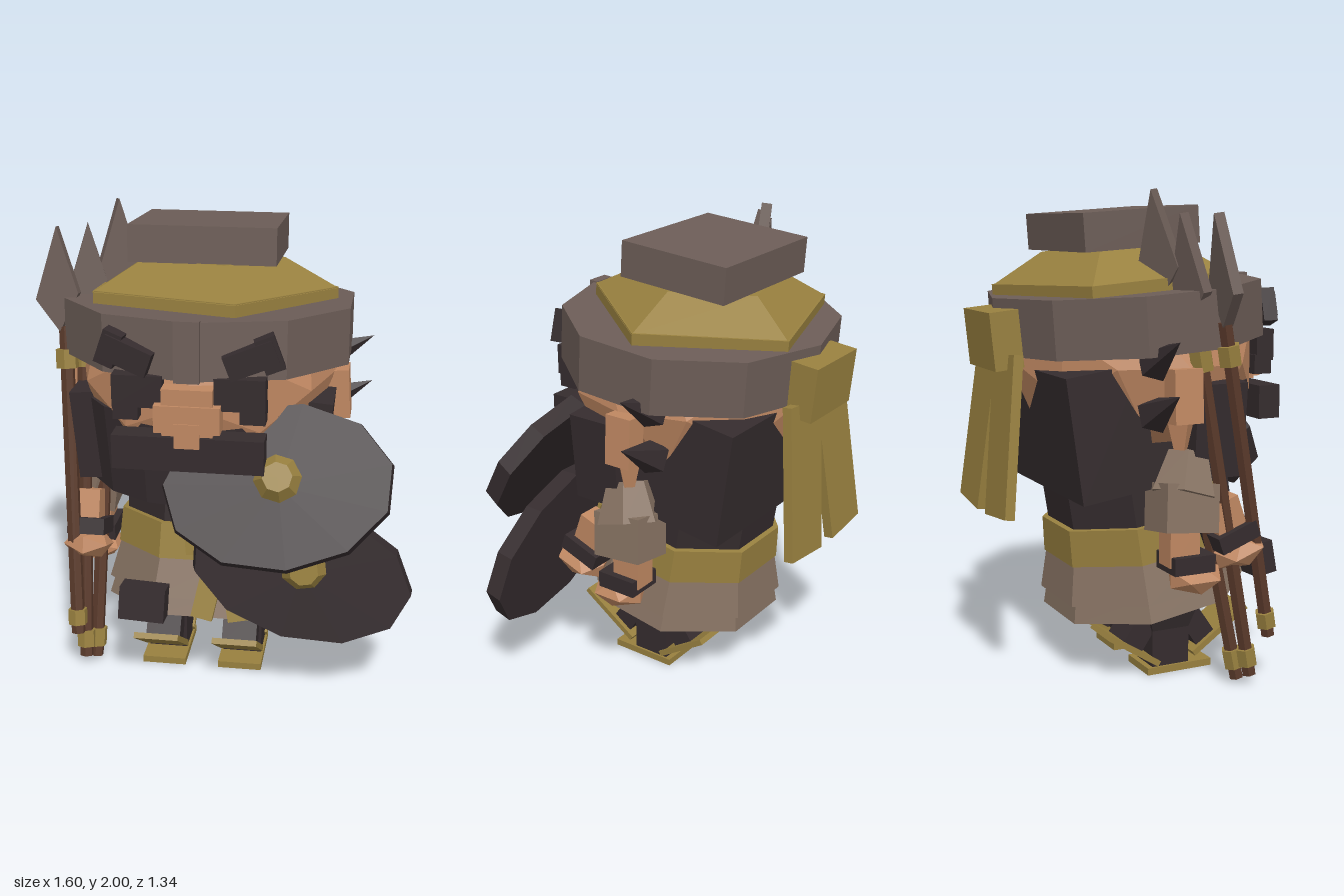
import * as THREE from 'three';

const mat = (name, color) => {
  const m = new THREE.MeshStandardMaterial({ color, flatShading: true, side: THREE.DoubleSide });
  m.name = name;
  return m;
};

export function createModel() {
  const dark = mat('charcoal', 0x352c2e), taupe = mat('taupe', 0x6c5d57), tan = mat('tan', 0x857161);
  const gold = mat('gold', 0x98803f), skin = mat('skin', 0xc08862), wood = mat('wood', 0x5a3a2b);
  const root = new THREE.Group();
  const CX = -0.1; // body axis

  const add = (name, geo, m, pos = [0, 0, 0], rot = [0, 0, 0], parent = root) => {
    const mesh = new THREE.Mesh(geo, m);
    mesh.name = name;
    mesh.position.set(...pos);
    mesh.rotation.set(...rot);
    parent.add(mesh);
    return mesh;
  };
  const box = (name, m, size, pos, rot, parent) => add(name, new THREE.BoxGeometry(...size), m, pos, rot, parent);
  const drum = (name, m, rt, rb, h, n, pos, rot, parent, start = 0) =>
    add(name, new THREE.CylinderGeometry(rt, rb, h, n, 1, false, start), m, pos, rot, parent);
  // rod or cone running between two points
  const rod = (name, m, a, b, ra, rb, n) => {
    const A = new THREE.Vector3(...a), B = new THREE.Vector3(...b);
    const mesh = drum(name, m, rb, ra, A.distanceTo(B), n, A.clone().lerp(B, 0.5).toArray());
    mesh.quaternion.setFromUnitVectors(new THREE.Vector3(0, 1, 0), B.sub(A).normalize());
    return mesh;
  };

  // Hat: faceted band, five-sided dome on a lip, square cap
  drum('hatBand', taupe, 0.61, 0.61, 0.23, 10, [CX + 0.01, 1.5, -0.01], [-0.07, 0, 0]).scale.set(1.01, 1, 0.93);
  box('hatBandPlate', taupe, [0.1, 0.24, 0.04], [CX, 1.54, 0.545], [-0.07, 0, 0]);
  drum('hatDomeLip', gold, 0.53, 0.53, 0.07, 5, [CX, 1.625, -0.05], [-0.08, 0, 0], root, Math.PI / 2).scale.set(1.01, 1, 0.95);
  drum('hatDome', gold, 0.31, 0.53, 0.12, 5, [CX, 1.715, -0.055], [-0.08, 0, 0], root, Math.PI / 2).scale.set(1.01, 1, 0.95);
  box('hatCap', taupe, [0.6, 0.15, 0.5], [CX, 1.85, -0.07], [-0.07, 0, 0]);

  // Head, hair and beard
  add('head', new THREE.IcosahedronGeometry(0.55, 1), skin, [CX, 1.32, 0.02]).scale.set(0.98, 0.78, 0.95);
  box('backHair', dark, [0.88, 0.5, 0.32], [CX, 1.07, -0.265], [-0.14, 0, 0]);
  const beard = add('beard', new THREE.CylinderGeometry(0.53, 0.5, 0.38, 8, 1, false, -Math.PI / 2, Math.PI),
    dark, [CX, 1.05, 0.05]);
  beard.scale.z = 0.85;
  add('beardTip', new THREE.CylinderGeometry(0.42, 0.1, 0.14, 6), dark, [CX, 0.88, 0.22]).scale.z = 0.6;

  // Face
  box('moustache', dark, [0.6, 0.14, 0.1], [CX, 1.13, 0.525]);
  box('noseBridge', skin, [0.2, 0.19, 0.08], [CX, 1.3, 0.53]);
  box('noseWide', skin, [0.26, 0.11, 0.09], [CX, 1.275, 0.535]);
  box('noseTip', skin, [0.1, 0.1, 0.05], [CX, 1.21, 0.56]);
  for (const s of [-1, 1]) {
    const X = d => CX + s * d;
    box('whisker', dark, [0.1, 0.38, 0.22], [X(0.48), 1.07, 0.16], [0, 0, s * -0.08]);
    box('eye', dark, [0.2, 0.13, 0.08], [X(0.2), 1.37, 0.5]);
    box('eyeCorner', dark, [0.1, 0.08, 0.08], [X(0.25), 1.29, 0.49]);
    box('eyebrow', dark, [0.2, 0.1, 0.06], [X(0.24), 1.51, 0.51], [0, s * 0.15, s * 0.35]);
    box('eyebrowEnd', dark, [0.08, 0.14, 0.06], [X(0.31), 1.53, 0.49], [0, s * 0.15, s * 0.35]);
    box('ear', skin, [0.09, 0.21, 0.12], [X(0.555), 1.22, -0.02], [0, 0, s * 0.06]);
    drum('earLobe', skin, 0.06, 0.03, 0.12, 4, [X(0.53), 1.07, -0.02]);
    for (const y of [1.36, 1.16])
      rod('earSpike', dark, [X(0.48), y - 0.02, -0.11], [X(0.69), y + 0.08, -0.11], 0.075, 0, 5);
  }

  // Ribbon knot with two hanging tails at the back
  box('ribbonKnot', gold, [0.31, 0.23, 0.12], [CX, 1.42, -0.585], [-0.1, 0, 0]);
  for (const s of [-1, 1])
    box('ribbonTail', gold, [0.23, 0.64, 0.04], [CX + s * 0.13, 1.04, -0.595], [0.11, 0, s * 0.1]);

  // Body, leaning back
  const body = new THREE.Group();
  body.name = 'body';
  body.position.set(CX, 0.6, 0.04);
  body.rotation.x = -0.16;
  root.add(body);
  drum('torso', dark, 0.36, 0.36, 0.42, 8, [0, 0.2, 0], [0, Math.PI / 8, 0], body);
  drum('belt', gold, 0.385, 0.4, 0.15, 8, [0, 0.01, 0], [0, Math.PI / 8, 0], body);
  drum('skirt', tan, 0.39, 0.44, 0.17, 8, [0, -0.14, 0], [0, Math.PI / 8, 0], body);
  drum('skirtHem', tan, 0.41, 0.44, 0.1, 8, [0, -0.25, 0], [0, Math.PI / 8, 0], body);
  box('beltBuckle', gold, [0.2, 0.13, 0.05], [0.06, 0.04, 0.38], [0, 0, 0.1], body);
  for (const s of [-1, 1])
    box('beltTail', gold, [0.09, 0.29, 0.03], [0.12 + s * 0.05, -0.15, 0.42], [-0.15, 0, s * 0.2], body);
  box('pouch', dark, [0.19, 0.14, 0.1], [-0.2, -0.23, 0.45], [0, 0, -0.05], body);

  // Legs and upturned plank shoes
  for (const s of [-1, 1]) {
    const x = CX + s * 0.168;
    box('leg', dark, [0.17, 0.36, 0.17], [x, 0.2, 0.09]);
    drum('boot', dark, 0.19, 0.12, 0.17, 4, [x, 0.27, 0.09], [0, Math.PI / 4, 0]);
    box('bootFlapFront', dark, [0.15, 0.16, 0.1], [x, 0.18, 0.22], [-0.6, 0, 0]);
    box('bootFlapBack', dark, [0.15, 0.16, 0.1], [x, 0.19, -0.04], [0.6, 0, 0]);
    box('shoeSole', gold, [0.19, 0.03, 0.3], [x, 0.015, 0.13]);
    box('shoeToe', gold, [0.19, 0.025, 0.31], [x, 0.15, 0.325], [-0.6, 0, 0]);
    box('shoeHeel', gold, [0.19, 0.025, 0.27], [x, 0.115, -0.08], [0.57, 0, 0]);
  }

  // Arms: sleeve, then a hanging and a forward forearm with cuff and fist
  for (const s of [-1, 1]) {
    const x = CX + s * 0.49;
    drum('shoulder', tan, 0.09, 0.14, 0.17, 6, [x - s * 0.03, 0.89, 0.04], [0.3, 0, s * 0.3]);
    box('sleeve', tan, [0.19, 0.19, 0.23], [x, 0.77, 0.01], [0.1, 0, s * 0.15]);
    for (const [z, y, lean] of [[0.03, 0, 0], [0.23, 0.09, -0.35]]) {
      const arm = new THREE.Group();
      arm.name = 'forearm';
      arm.position.set(x, y, z);
      root.add(arm);
      box('wrist', skin, [0.1, 0.16, 0.13], [0, 0.62, -0.03], [lean, 0, 0], arm);
      box('cuff', dark, [0.16, 0.07, 0.18], [0, 0.55, 0], [lean, 0, 0], arm);
      add('fist', new THREE.IcosahedronGeometry(0.11, 0), skin, [0, 0.48, 0.04], [lean, 0, 0], arm)
        .scale.set(1, 0.62, 1.15);
    }
  }

  // Two overlapping shields, each with a boss
  const shield = (name, pos, normal, rx, ry, roll) => {
    const g = new THREE.Group();
    g.name = name;
    g.position.set(...pos);
    g.lookAt(new THREE.Vector3(...pos).add(new THREE.Vector3(...normal)));
    g.rotateZ(roll);
    root.add(g);
    drum('shieldDisc', dark, 0.97, 1, 0.08, 11, [0, 0, 0], [Math.PI / 2, 0, 0], g).scale.set(rx, 1, ry);
    drum('shieldBoss', gold, 0.06, 0.1, 0.06, 8, [0, 0.03, 0.065], [Math.PI / 2, 0, 0], g);
  };
  shield('upperShield', [0.25, 0.98, 0.49], [0.06, 0.57, 1], 0.47, 0.34, 0.12);
  shield('lowerShield', [0.345, 0.6, 0.46], [0.1, 0.15, 1], 0.47, 0.29, -0.28);

  // Bundle of three spears: shaft top, shaft bottom, blade centre, blade turn
  const blade = new THREE.Shape([[0.01, -0.18], [0.09, -0.02], [0, 0.25], [-0.09, -0.05]].map(p => new THREE.Vector2(...p)));
  const bladeGeo = new THREE.ExtrudeGeometry(blade, { depth: 0.045, bevelEnabled: false });
  bladeGeo.translate(0, 0, -0.022);
  const spears = [
    [[-0.68, 1.5, 0.14], [-0.62, 0.2, 0.4], [-0.71, 1.66, 0.12], 0],
    [[-0.63, 1.5, 0.04], [-0.61, 0.04, 0.32], [-0.605, 1.66, 0.03], 0.25],
    [[-0.52, 1.6, -0.04], [-0.575, 0.02, 0.28], [-0.49, 1.75, -0.04], 0.5],
  ];
  for (const [top, bottom, tip, turn] of spears) {
    const at = t => bottom.map((b, i) => b + (top[i] - b) * t);
    rod('spearShaft', wood, bottom, top, 0.03, 0.03, 6);
    rod('spearLowerBand', gold, at(0.03), at(0.08), 0.042, 0.042, 6);
    rod('spearUpperBand', gold, at(0.87), at(0.93), 0.048, 0.048, 6);
    add('spearBlade', bladeGeo, taupe, tip, [-0.12, turn, 0]);
  }
  return root;
}
